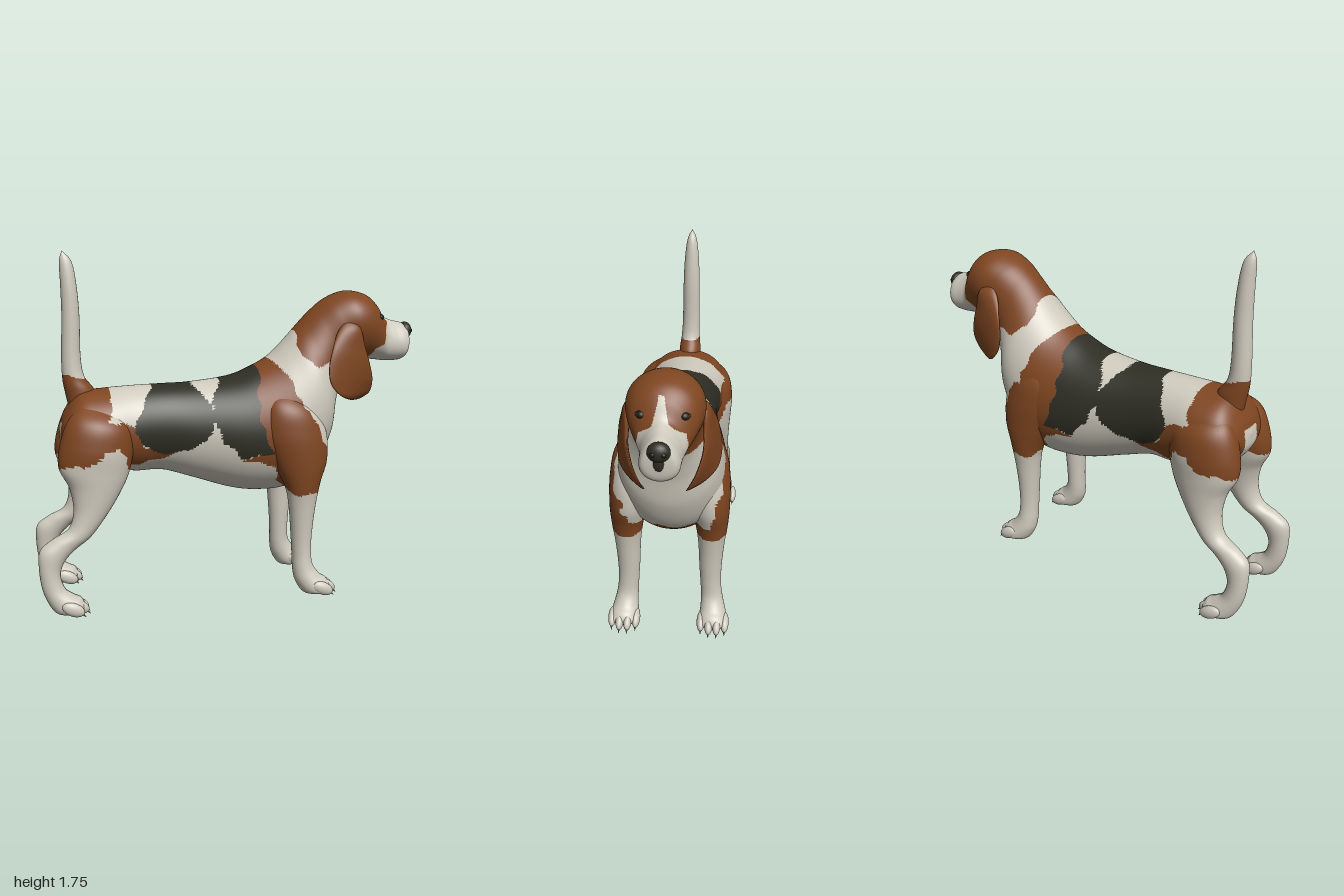
import * as THREE from 'three';

const mat = (name, color) => {
  const m = new THREE.MeshStandardMaterial({ color });
  m.name = name;
  return m;
};
const WHITE = 0, TAN = 1, BLACK = 2;

// Coat patches as side-on outlines [x, y], shared by both flanks
const shoulderPatch = [[0.12, 1.3], [0.18, 1.3], [0.19, 1.22], [0.265, 1.15], [0.31, 1.04], [0.4, 0.9], [0.465, 0.76],
  [0.46, 0.55], [0.27, 0.55], [0.21, 0.61], [0.18, 0.7], [0.02, 0.735], [0.17, 0.765], [0.11, 0.93], [0.11, 1.07], [0.145, 1.17]];
const saddleFront = [[-0.065, 1.3], [0.17, 1.3], [0.2, 0.9], [0.17, 0.76], [0.01, 0.74], [-0.07, 0.83], [-0.125, 0.95], [-0.125, 1.02], [-0.095, 1.07], [-0.07, 1.11]];
const saddleRear = [[-0.41, 1.3], [-0.23, 1.3], [-0.21, 1.1], [-0.165, 1.06], [-0.128, 1.0], [-0.12, 0.94], [-0.15, 0.83], [-0.31, 0.77],
  [-0.42, 0.78], [-0.52, 0.9], [-0.47, 1.01], [-0.41, 1.08]];
const hipPatch = [[-1, 1.17], [-0.66, 1.14], [-0.61, 1.08], [-0.64, 0.96], [-0.52, 0.92], [-0.45, 0.8], [-0.32, 0.77],
  [-0.4, 0.74], [-0.55, 0.71], [-0.59, 0.83], [-0.65, 0.82], [-0.71, 0.76], [-1, 0.72]];
const headPatch = [[0.32, 1.6], [0.335, 1.36], [0.34, 1.23], [0.42, 1.19], [0.5, 1.2], [0.56, 1.18], [0.6, 1.12], [0.63, 1.08], [0.72, 1.19],
  [0.76, 1.25], [0.82, 1.29], [0.81, 1.36], [0.85, 1.39], [0.86, 1.6]];

function inside(poly, x, y) {
  let hit = false;
  for (let i = 0, j = poly.length - 1; i < poly.length; j = i++) {
    const [ax, ay] = poly[i], [bx, by] = poly[j];
    if ((ay > y) !== (by > y) && x < (bx - ax) * (y - ay) / (by - ay) + ax) hit = !hit;
  }
  return hit;
}

// Colour of the coat at a point, with slightly wavy borders
function coat(px, py, pz) {
  const x = px + 0.007 * Math.sin(py * 55), y = py + 0.007 * Math.sin(px * 48);
  const z = Math.abs(pz + 0.01);
  if (inside(shoulderPatch, x, y)) {
    const bib = x > 0.32 && y > 0.64 + 0.012 * Math.sin(pz * 40) && z < 0.2 + (y - 0.65) * 0.2;
    return bib ? WHITE : TAN;
  }
  if (inside(saddleFront, x, y) || inside(saddleRear, x, y)) return BLACK;
  if (inside(hipPatch, x, y)) return z < 0.06 && y < 0.93 && x < -0.6 ? WHITE : TAN;
  if (inside(headPatch, x, y)) {
    const blaze = x > 0.72 && y > 1.36 && y < 1.5 && z < 0.012 + (1.5 - y) * 0.25;
    return blaze ? WHITE : TAN;
  }
  return WHITE;
}

// Skin over oval rings. Row: [px, py, qx, qy, halfWidth, z, egg, tilt];
// p and q are the two profile points of the ring, egg widens the p side, tilt turns p in z.
function loft(name, rows, steps, segs, materials, paint, side = 1) {
  const curve = (a, b, c) => new THREE.CatmullRomCurve3(
    rows.map(r => new THREE.Vector3(r[a] ?? 0, r[b] ?? 0, r[c] ?? 0)), false, 'catmullrom', 0.5);
  const P = curve(0, 1, 4), Q = curve(2, 3, 5), E = curve(6, 7, 8);
  const pos = [];
  for (let i = 0; i <= steps; i++) {
    const p = P.getPoint(i / steps), q = Q.getPoint(i / steps), e = E.getPoint(i / steps);
    for (let j = 0; j < segs; j++) {
      const a = j / segs * Math.PI * 2, c = Math.cos(a), s = Math.sin(a);
      pos.push((p.x + q.x) / 2 + (p.x - q.x) / 2 * c, (p.y + q.y) / 2 + (p.y - q.y) / 2 * c,
        side * (q.z + e.y * c) + Math.max(p.z, 0) * s * (1 + e.x * c));
    }
  }
  const buckets = materials.map(() => []);
  const tri = (...t) => {
    const mid = k => (pos[t[0] * 3 + k] + pos[t[1] * 3 + k] + pos[t[2] * 3 + k]) / 3;
    buckets[paint ? paint(mid(0), mid(1), mid(2)) : 0].push(...t);
  };
  for (let i = 0; i < steps; i++) for (let j = 0; j < segs; j++) {
    const a = i * segs + j, b = i * segs + (j + 1) % segs;
    tri(a, b, a + segs);
    tri(b, b + segs, a + segs);
  }
  const g = new THREE.BufferGeometry();
  g.setAttribute('position', new THREE.Float32BufferAttribute(pos, 3));
  g.setIndex(buckets.flat());
  let start = 0;
  buckets.forEach((b, k) => { if (b.length) g.addGroup(start, b.length, k); start += b.length; });
  g.computeVertexNormals();
  const mesh = new THREE.Mesh(g, materials);
  mesh.name = name;
  return mesh;
}

function blob(name, material, [x, y, z], [sx, sy, sz], turn = 0) {
  const m = new THREE.Mesh(new THREE.SphereGeometry(1, 18, 12), material);
  m.position.set(x, y, z);
  m.scale.set(sx, sy, sz);
  m.rotation.z = turn;
  m.name = name;
  return m;
}

export function createModel() {
  const dog = new THREE.Group();
  dog.name = 'dog';
  const white = mat('white coat', 0xcfcabd), tan = mat('tan coat', 0x7f4621), black = mat('black coat', 0x2e2e24);
  const claw = mat('claw grey', 0x8c877a), eye = mat('eye dark', 0x1f1b17);
  const coats = [white, tan, black];

  // Rump, barrel, neck, skull and muzzle in one skin: back point, belly point
  const c = -0.012, h = -0.015;
  dog.add(loft('body', [
    [-0.868, 0.9, -0.868, 0.89, 0, c], [-0.835, 0.985, -0.86, 0.82, 0.13, c], [-0.765, 1.07, -0.8, 0.75, 0.2, c],
    [-0.65, 1.085, -0.65, 0.69, 0.225, c], [-0.5, 1.095, -0.5, 0.66, 0.2, c], [-0.35, 1.1, -0.36, 0.658, 0.187, c],
    [-0.2, 1.105, -0.2, 0.61, 0.205, c], [0, 1.13, 0, 0.545, 0.243, c], [0.12, 1.175, 0.15, 0.525, 0.262, c, -0.06],
    [0.21, 1.225, 0.3, 0.54, 0.268, c, -0.08], [0.28, 1.29, 0.44, 0.635, 0.258, c, -0.1], [0.33, 1.345, 0.53, 0.8, 0.235, c, -0.12],
    [0.38, 1.4, 0.565, 0.98, 0.192, h, -0.1], [0.44, 1.46, 0.61, 1.1, 0.165, h], [0.52, 1.52, 0.67, 1.175, 0.166, h, 0.1],
    [0.62, 1.555, 0.72, 1.2, 0.173, h, 0.15], [0.72, 1.54, 0.77, 1.195, 0.153, h, 0.15], [0.785, 1.49, 0.81, 1.19, 0.122, h, 0.05],
    [0.83, 1.425, 0.85, 1.185, 0.095, h, -0.15], [0.88, 1.4, 0.9, 1.185, 0.088, h, -0.2], [0.94, 1.385, 0.942, 1.193, 0.084, h, -0.2],
    [0.97, 1.36, 0.968, 1.22, 0.064, h, -0.1], [0.98, 1.3, 0.98, 1.29, 0, h],
  ], 300, 128, coats, coat));

  // Upright tail: rear point, front point
  dog.add(loft('tail', [
    [-0.81, 0.96, -0.66, 1.0, 0.06, -0.02], [-0.832, 1.07, -0.69, 1.085, 0.06, -0.021], [-0.843, 1.14, -0.735, 1.15, 0.052, -0.022],
    [-0.845, 1.25, -0.75, 1.25, 0.048, -0.024], [-0.837, 1.45, -0.75, 1.45, 0.045, -0.024], [-0.838, 1.6, -0.76, 1.6, 0.039, -0.024],
    [-0.84, 1.71, -0.78, 1.71, 0.025, -0.024], [-0.826, 1.762, -0.824, 1.762, 0, -0.024],
  ], 60, 32, coats, coat));

  // Legs run downwards: front point, rear point
  const foreleg = [
    [0.28, 1.09, 0.23, 1.09, 0, 0.15], [0.4, 0.98, 0.15, 1.0, 0.086, 0.178], [0.462, 0.86, 0.13, 0.86, 0.108, 0.188],
    [0.465, 0.72, 0.19, 0.7, 0.098, 0.202], [0.428, 0.6, 0.245, 0.58, 0.08, 0.212], [0.405, 0.48, 0.265, 0.48, 0.066, 0.212],
    [0.39, 0.35, 0.278, 0.33, 0.057, 0.21], [0.384, 0.25, 0.284, 0.22, 0.053, 0.213], [0.39, 0.17, 0.287, 0.14, 0.056, 0.22],
    [0.425, 0.115, 0.3, 0.08, 0.064, 0.227], [0.462, 0.088, 0.34, 0.02, 0.074, 0.231], [0.478, 0.05, 0.4, 0.012, 0.072, 0.232],
    [0.455, 0.016, 0.45, 0.014, 0, 0.232],
  ];
  const hindleg = [
    [-0.65, 1.03, -0.74, 1.04, 0, 0.12], [-0.54, 0.93, -0.83, 0.96, 0.096, 0.146], [-0.52, 0.81, -0.876, 0.84, 0.118, 0.155],
    [-0.545, 0.69, -0.885, 0.73, 0.104, 0.165], [-0.595, 0.59, -0.838, 0.63, 0.084, 0.178], [-0.66, 0.49, -0.822, 0.52, 0.067, 0.19],
    [-0.74, 0.39, -0.85, 0.43, 0.057, 0.2], [-0.82, 0.33, -0.93, 0.385, 0.05, 0.21], [-0.873, 0.275, -0.99, 0.335, 0.05, 0.217],
    [-0.895, 0.21, -0.998, 0.25, 0.047, 0.222], [-0.875, 0.14, -0.985, 0.14, 0.05, 0.226], [-0.83, 0.105, -0.95, 0.055, 0.061, 0.229],
    [-0.795, 0.085, -0.91, 0.015, 0.068, 0.231], [-0.785, 0.05, -0.84, 0.012, 0.064, 0.231], [-0.81, 0.016, -0.82, 0.014, 0, 0.231],
  ];
  // Hanging ear flap with its front edge curled inwards
  const ear = [
    [0.61, 1.42, 0.59, 1.42, 0, 0.15], [0.652, 1.37, 0.53, 1.36, 0.022, 0.172], [0.678, 1.28, 0.488, 1.27, 0.02, 0.192, 0, -0.02],
    [0.705, 1.2, 0.465, 1.18, 0.018, 0.2, 0, -0.032], [0.735, 1.11, 0.475, 1.1, 0.018, 0.19, 0, -0.05],
    [0.738, 1.04, 0.53, 1.04, 0.016, 0.165, 0, -0.06], [0.705, 1.008, 0.6, 1.008, 0.011, 0.135, 0, -0.04],
    [0.66, 0.998, 0.655, 0.998, 0, 0.12],
  ];

  for (const s of [1, -1]) {
    const tag = s > 0 ? 'near' : 'far';
    dog.add(loft(tag + 'Foreleg', foreleg, 110, 40, coats, coat, s));
    dog.add(loft(tag + 'Hindleg', hindleg, 110, 40, coats, coat, s));
    const flap = loft(tag + 'Ear', ear, 60, 32, [tan], null, s);
    flap.position.z = h;
    dog.add(flap);

    // Four long sloping toes with claws on each paw
    for (const [paw, tipX] of [['Forepaw', 0.5], ['Hindpaw', -0.77]]) {
      const foot = new THREE.Group();
      foot.name = tag + paw;
      for (let i = 0; i < 4; i++) {
        const off = i - 1.5, z = s * 0.231 + off * 0.041, x = tipX - (Math.abs(off) > 1 ? 0.025 : 0);
        foot.add(blob('toe', white, [x - 0.047, 0.05, z], [0.058, 0.033, 0.022], -0.42));
        const nail = new THREE.Mesh(new THREE.ConeGeometry(0.009, 0.034, 8), claw);
        nail.name = 'claw';
        nail.position.set(x + 0.002, 0.02, z);
        nail.rotation.z = -2.4;
        foot.add(nail);
      }
      dog.add(foot);
    }

    // Eye set in a dark rim
    dog.add(blob(tag + 'Eye', eye, [0.785, 1.421, h + s * 0.091], [0.023, 0.019, 0.022]));
    dog.add(blob(tag + 'EyeRim', black, [0.779, 1.421, h + s * 0.091], [0.026, 0.014, 0.028]));
    dog.add(blob(tag + 'Nostril', eye, [0.99, 1.343, h + s * 0.022], [0.01, 0.011, 0.012]));
  }

  // Nose pad narrowing into the groove below it
  dog.add(blob('nose', black, [0.964, 1.343, h], [0.036, 0.045, 0.05]));
  dog.add(blob('noseGroove', black, [0.968, 1.296, h], [0.018, 0.042, 0.026]));
  return dog;
}
